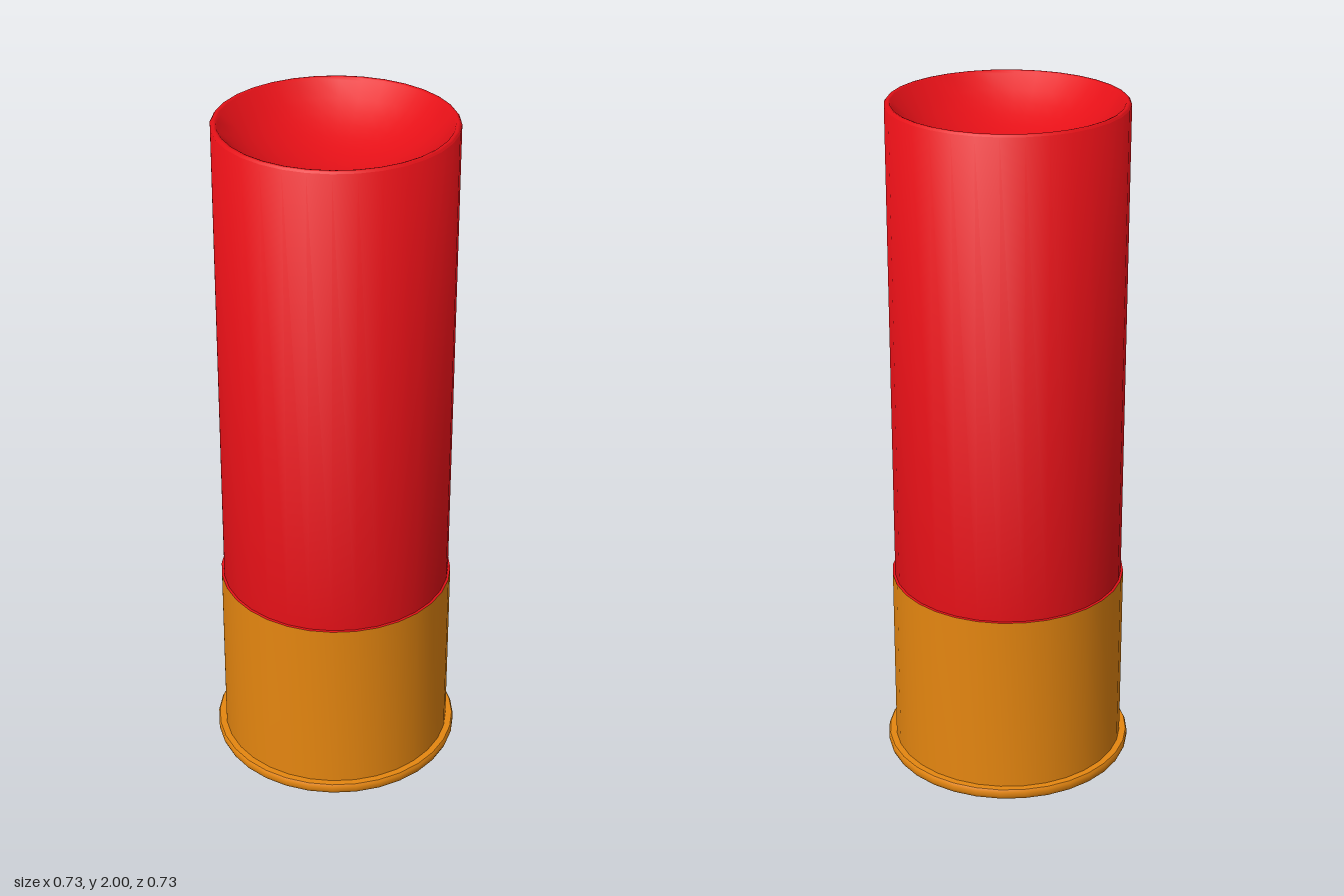
import * as THREE from 'three';
import { toCreasedNormals } from 'three/addons/utils/BufferGeometryUtils.js';

const SIDES = 32;

// Turned part: profile of [radius, height] pairs, run from the bottom axis outwards and up
function turned(name, profile, color, crease) {
  const points = profile.map(([r, y]) => new THREE.Vector2(r, y));
  const geometry = toCreasedNormals(new THREE.LatheGeometry(points, SIDES), crease);
  const mesh = new THREE.Mesh(geometry, new THREE.MeshStandardMaterial({ color }));
  mesh.name = name;
  return mesh;
}

export function createModel() {
  const group = new THREE.Group();
  group.name = 'cartridge';
  const brass = 0xe58610;
  const red = 0xe51017;

  // Metal base cup with a rolled rim and a shallow dished underside
  group.add(turned('baseCup', [
    [0.19, 0.02], [0.25, 0.015], [0.335, 0.002], [0.35, 0],
    [0.361, 0.005], [0.365, 0.015], [0.365, 0.028], [0.361, 0.035],
    [0.342, 0.035], [0.342, 0.58],
  ], brass, 0.9));

  // Primer: raised button with a dimple in its middle
  group.add(turned('primer', [
    [0, 0.022], [0.05, 0.02], [0.075, 0.014], [0.085, 0.008],
    [0.12, 0.002], [0.16, 0], [0.19, 0.003], [0.2, 0.01], [0.2, 0.03],
  ], brass, 0.8));

  // Hull: small step over the cup, straight wall, rounded lip, bowl-shaped closed mouth
  const hull = [
    [0.342, 0.58], [0.335, 0.581], [0.335, 1.994],
    [0.331, 1.999], [0.325, 2], [0.319, 1.998], [0.315, 1.992],
  ];
  const bowlRadius = 0.315, bowlDepth = 0.135;
  const sphere = (bowlRadius ** 2 + bowlDepth ** 2) / (2 * bowlDepth);
  const steps = 8;
  for (let i = 1; i <= steps; i++) {
    const r = bowlRadius * (1 - i / steps);
    hull.push([r, 1.992 - bowlDepth + sphere - Math.sqrt(sphere ** 2 - r ** 2)]);
  }
  group.add(turned('hull', hull, red, 0.9));

  return group;
}
